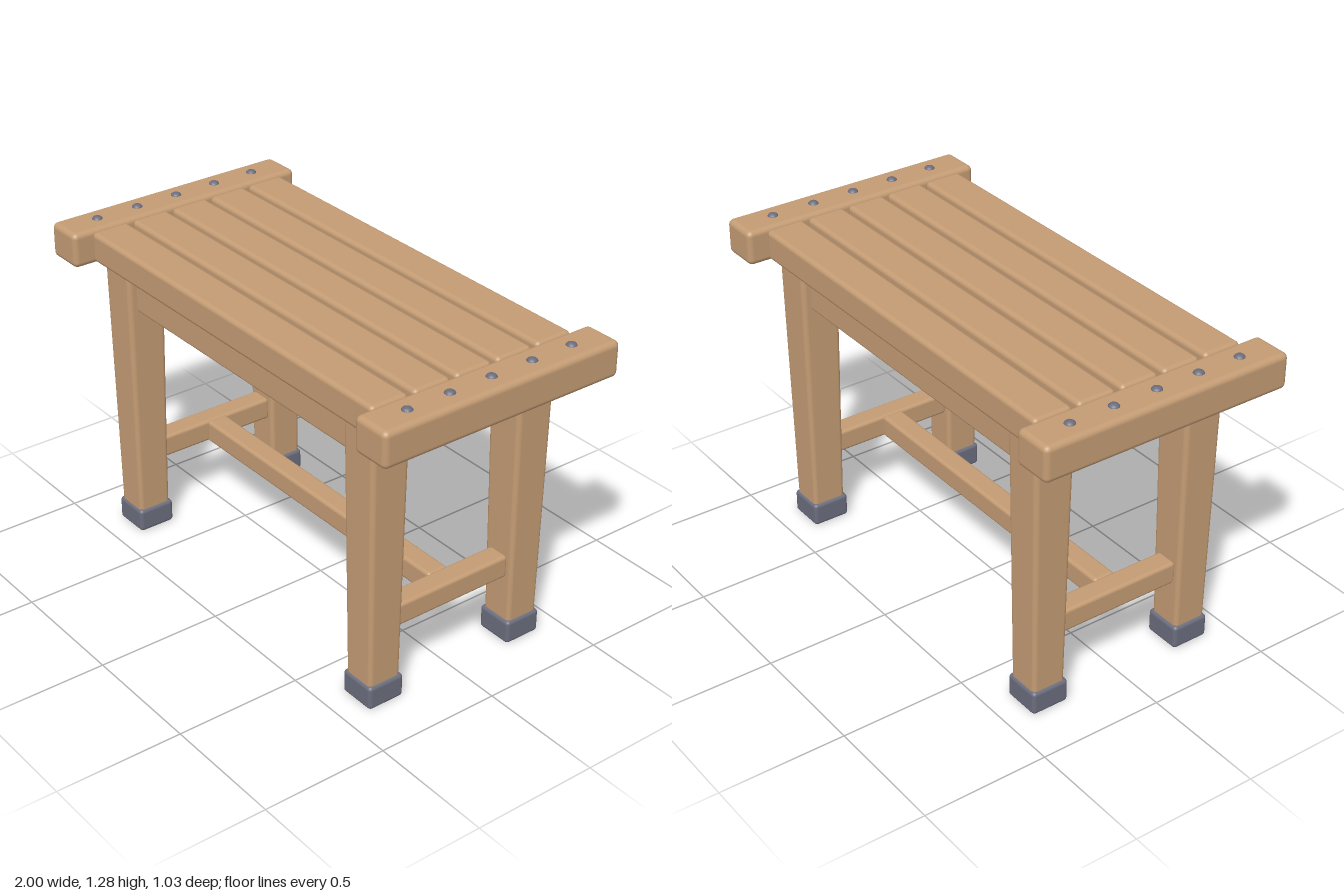
import * as THREE from 'three';
import { RoundedBoxGeometry } from 'three/addons/geometries/RoundedBoxGeometry.js';

export function createModel() {
  const bench = new THREE.Group();
  bench.name = 'slattedBench';

  const wood = new THREE.MeshStandardMaterial({ color: 0xc49c74 });
  wood.name = 'wood';
  const metal = new THREE.MeshStandardMaterial({ color: 0x6b6d7d });
  metal.name = 'greyMetal';

  const add = (name, geometry, material, x, y, z) => {
    const mesh = new THREE.Mesh(geometry, material);
    mesh.name = name;
    mesh.position.set(x, y, z);
    bench.add(mesh);
    return mesh;
  };
  const block = (w, h, d, r = 0.018) => new RoundedBoxGeometry(w, h, d, 3, r);

  // Leg narrows evenly from top to bottom
  const legHeight = 1.136;
  const legGeometry = block(0.162, legHeight, 0.164, 0.02);
  const p = legGeometry.attributes.position;
  for (let i = 0; i < p.count; i++) {
    const t = 0.5 - p.getY(i) / legHeight;
    const s = 1 - 0.18 * t;
    p.setX(i, p.getX(i) * s);
    p.setZ(i, p.getZ(i) * s);
  }

  // Seat slats
  const slatSpacing = 0.18;
  const slatGeometry = block(1.676, 0.12, 0.158);
  for (let i = -2; i <= 2; i++) {
    add('seatSlat', slatGeometry, wood, 0, 1.2, i * slatSpacing);
  }

  const endBoardGeometry = block(0.16, 0.14, 1.03, 0.022);
  const boltGeometry = new THREE.SphereGeometry(0.021, 20, 12);
  const footGeometry = block(0.154, 0.096, 0.154, 0.015);
  const sideApronGeometry = block(0.09, 0.16, 0.52, 0.012);
  const longApronGeometry = block(1.33, 0.16, 0.09, 0.012);
  const sideStretcherGeometry = block(0.09, 0.092, 0.52, 0.014);

  for (const sx of [-1, 1]) {
    // End boards with a row of domed bolts
    add('endBoard', endBoardGeometry, wood, sx * 0.92, 1.195, 0);
    for (let i = -2; i <= 2; i++) {
      add('bolt', boltGeometry, metal, sx * 0.92, 1.262, i * slatSpacing).scale.y = 0.7;
    }
    // Cross rails between front and back legs
    add('sideApron', sideApronGeometry, wood, sx * 0.727, 1.06, 0);
    add('sideStretcher', sideStretcherGeometry, wood, sx * 0.727, 0.327, 0);
    // Legs and metal feet
    for (const sz of [-1, 1]) {
      add('leg', legGeometry, wood, sx * 0.727, 0.004 + legHeight / 2, sz * 0.325);
      add('foot', footGeometry, metal, sx * 0.727, 0.048, sz * 0.324);
    }
  }

  // Long rails
  for (const sz of [-1, 1]) {
    add('longApron', longApronGeometry, wood, 0, 1.06, sz * 0.325);
  }
  add('longStretcher', block(1.38, 0.092, 0.09, 0.014), wood, 0, 0.327, 0);

  return bench;
}
